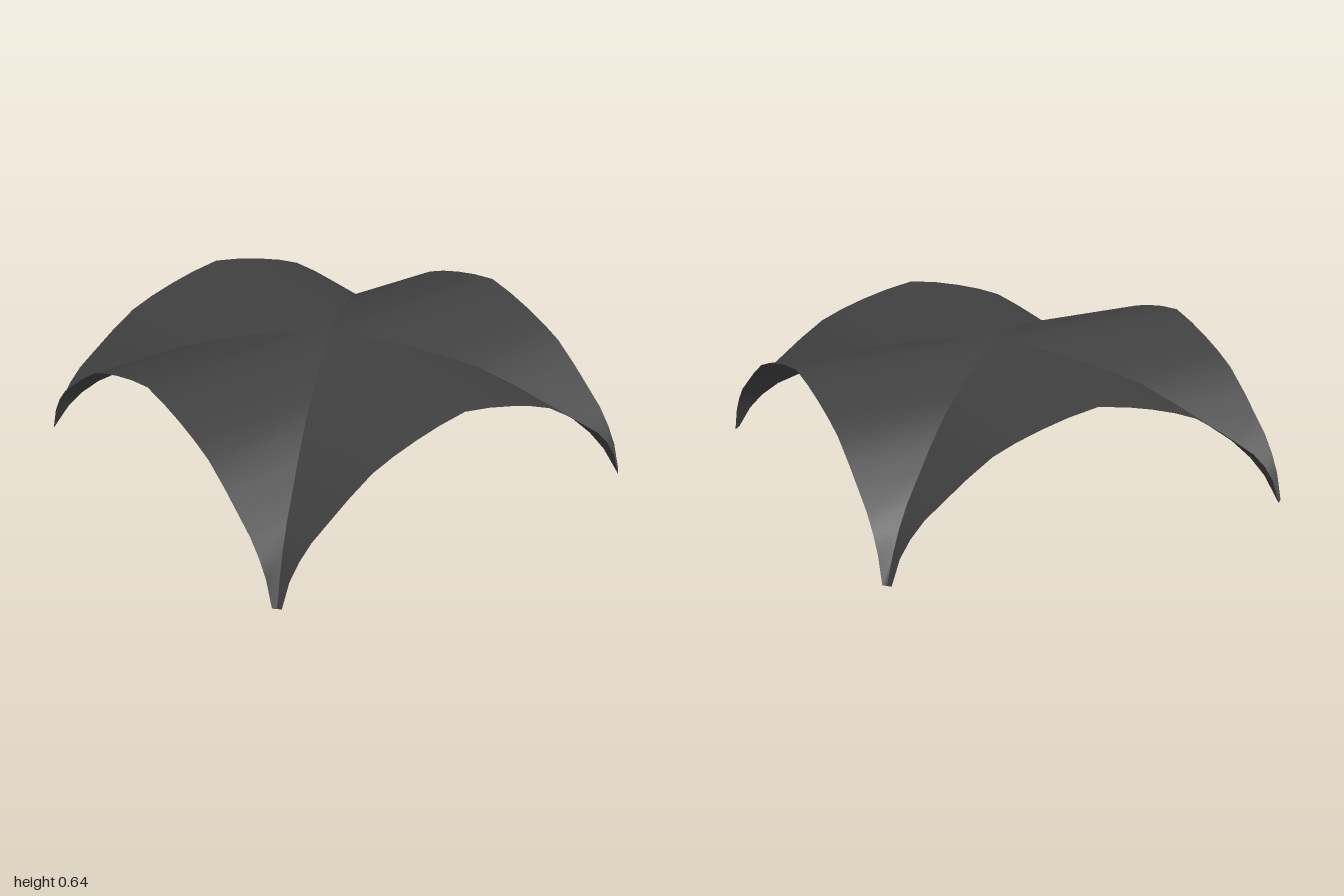
import * as THREE from 'three';

// Half of the arch profile, crown to foot: [distance from centre, height]
const HALF_ARCH = [
  [0, 0.642], [0.14, 0.618], [0.27, 0.585], [0.39, 0.547], [0.5, 0.502],
  [0.62, 0.422], [0.72, 0.346], [0.815, 0.273], [0.88, 0.2], [0.93, 0.12], [0.97, 0],
];

// One web of the groin vault: the arch swept from the diagonal groins to the open edge
function createWebGeometry() {
  const left = HALF_ARCH.slice(1).reverse().map(([x, y]) => [-x, y]);
  const arch = [...left, ...HALF_ARCH];
  const positions = [];
  const indices = [];
  arch.forEach(([x, y], i) => {
    // The last groin point lies on the cut corner of the foot
    const groin = y === 0 ? 0.985 : Math.abs(x);
    positions.push(Math.sign(x) * groin, y, groin, x, y, 1);
    if (i < arch.length - 1) {
      const a = 2 * i;
      indices.push(a, a + 1, a + 3, a, a + 3, a + 2);
    }
  });
  const geometry = new THREE.BufferGeometry();
  geometry.setAttribute('position', new THREE.Float32BufferAttribute(positions, 3));
  geometry.setIndex(indices);
  geometry.computeVertexNormals();
  return geometry;
}

export function createModel() {
  const vault = new THREE.Group();
  vault.name = 'groinVault';
  const material = new THREE.MeshStandardMaterial({ color: 0x404040, side: THREE.DoubleSide });
  const geometry = createWebGeometry();

  // Four identical webs meet along the diagonals
  ['frontWeb', 'leftWeb', 'backWeb', 'rightWeb'].forEach((name, i) => {
    const web = new THREE.Mesh(geometry, material);
    web.name = name;
    web.rotation.y = (i * Math.PI) / 2;
    vault.add(web);
  });
  return vault;
}
